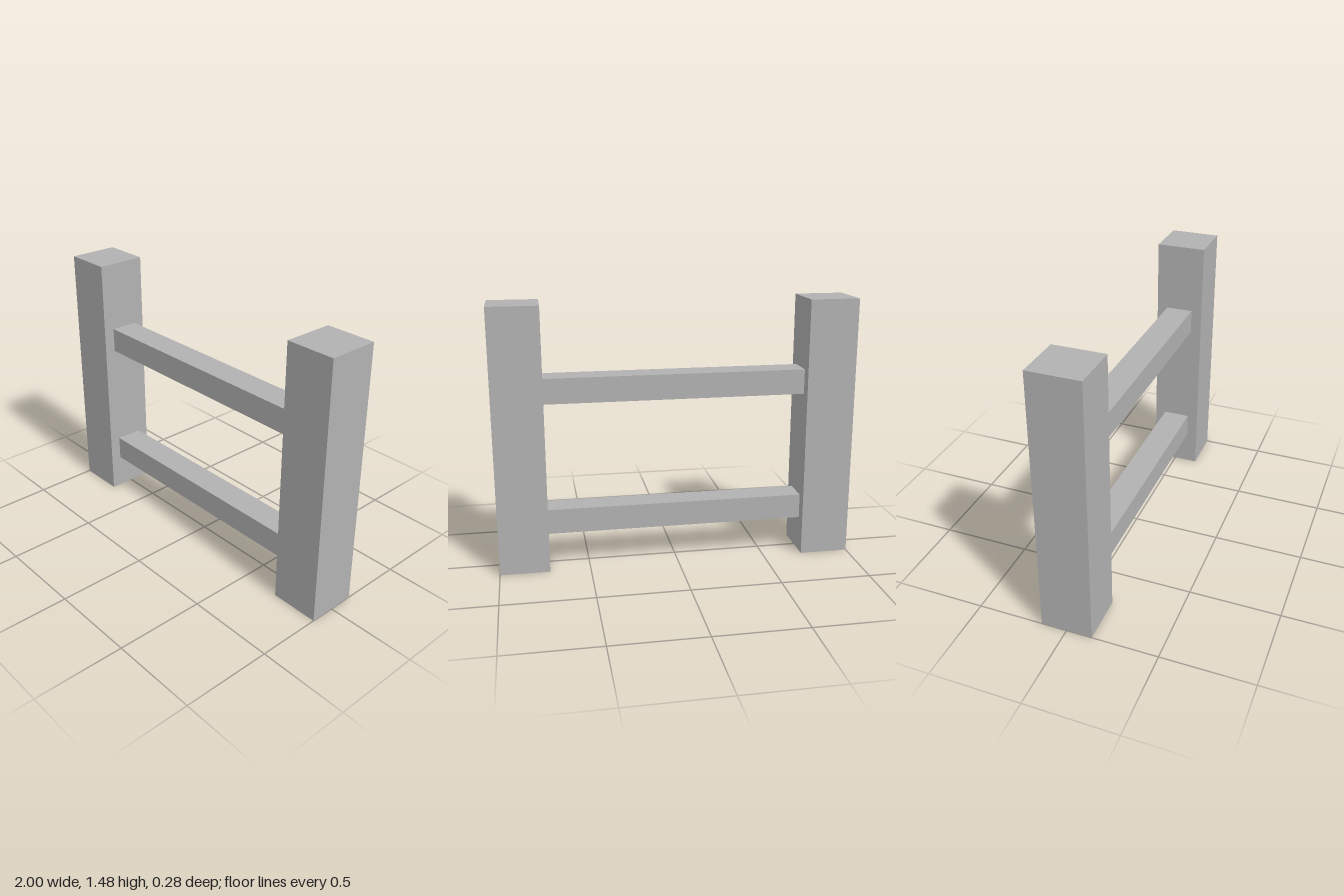
import * as THREE from 'three';

const HEIGHT = 1.475, POST = 0.275, POST_DEPTH = 0.28;
const RAIL = 0.14, RAIL_DEPTH = 0.155;

export function createModel() {
  const model = new THREE.Group();
  model.name = 'fence';
  const grey = new THREE.MeshStandardMaterial({ color: 0xb2b2b2 });
  grey.name = 'grey';

  const addBox = (name, w, h, d, x, y) => {
    const mesh = new THREE.Mesh(new THREE.BoxGeometry(w, h, d), grey);
    mesh.name = name;
    mesh.position.set(x, y, 0);
    model.add(mesh);
  };

  // Upright posts at both ends
  for (const [name, side] of [['leftPost', 1], ['rightPost', -1]]) {
    addBox(name, POST, HEIGHT, POST_DEPTH, side * (1 - POST / 2), HEIGHT / 2);
  }

  // Horizontal rails spanning between the posts
  for (const [name, y] of [['lowerRail', 0.27], ['upperRail', 1.01]]) {
    addBox(name, 2 - 2 * POST, RAIL, RAIL_DEPTH, 0, y);
  }
  return model;
}
